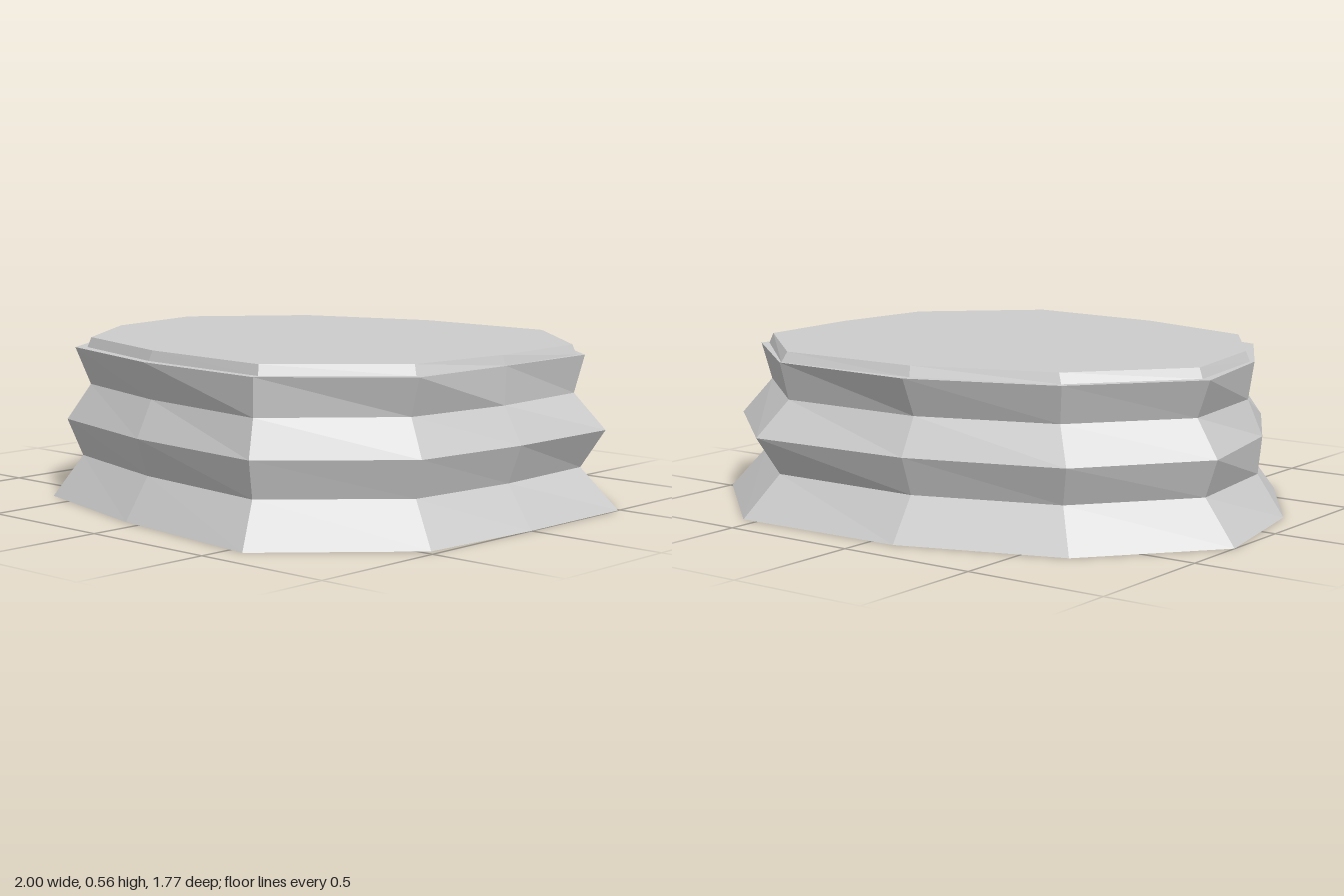
import * as THREE from 'three';

// Each ring is a height and eleven [x, z] corners, from the back left round by the right to the front.
const bodyRings = [
  { y: 0, p: [[-1, -.26], [-.65, -.68], [-.09, -.87], [.56, -.885], [1, -.49], [1, 0], [.97, .47], [.56, .885], [-.07, .8], [-.62, .65], [-.9, .23]] },
  { y: .145, p: [[-.87, -.23], [-.57, -.6], [-.08, -.765], [.5, -.765], [.885, -.425], [.905, 0], [.865, .42], [.5, .78], [-.06, .71], [-.55, .57], [-.81, .205]] },
  { y: .275, p: [[-.92, -.24], [-.61, -.64], [-.08, -.81], [.54, -.835], [.955, -.47], [.955, 0], [.905, .44], [.52, .815], [-.06, .755], [-.585, .61], [-.82, .215]] },
  { y: .4, p: [[-.83, -.22], [-.54, -.575], [-.07, -.735], [.48, -.735], [.86, -.415], [.885, 0], [.835, .41], [.49, .765], [-.06, .69], [-.52, .555], [-.77, .2]] },
  { y: .53, p: [[-.885, -.235], [-.57, -.61], [-.07, -.79], [.49, -.765], [.885, -.44], [.89, 0], [.88, .425], [.5, .775], [-.05, .735], [-.56, .59], [-.79, .205]] },
];
const slabRings = [
  { y: .53, p: [[-.85, -.225], [-.55, -.585], [-.07, -.755], [.49, -.757], [.865, -.42], [.885, 0], [.85, .405], [.49, .742], [-.06, .7], [-.53, .56], [-.775, .2]] },
  { y: .565, p: [[-.835, -.22], [-.535, -.575], [-.06, -.738], [.48, -.738], [.85, -.415], [.875, 0], [.835, .395], [.48, .73], [-.05, .69], [-.52, .55], [-.76, .197]] },
];

// Skin the rings, with a flat cap at both ends.
function loft(rings) {
  const pos = [];
  const corner = (r, i) => [r.p[i][0], r.y, r.p[i][1]];
  const tri = (a, b, c) => pos.push(...a, ...b, ...c);
  const low = rings[0], high = rings[rings.length - 1], n = low.p.length;
  for (let i = 0; i < n; i++) {
    const j = (i + 1) % n;
    for (let k = 0; k < rings.length - 1; k++) {
      const a = rings[k], b = rings[k + 1];
      tri(corner(a, i), corner(b, j), corner(a, j));
      tri(corner(a, i), corner(b, i), corner(b, j));
    }
    tri([0, low.y, 0], corner(low, i), corner(low, j));
    tri([0, high.y, 0], corner(high, j), corner(high, i));
  }
  const g = new THREE.BufferGeometry();
  g.setAttribute('position', new THREE.Float32BufferAttribute(pos, 3));
  g.computeVertexNormals();
  return g;
}

export function createModel() {
  const stone = new THREE.MeshStandardMaterial({ color: 0xcccccc, flatShading: true });
  stone.name = 'light grey stone';
  const group = new THREE.Group();
  group.name = 'stonePlatform';
  const add = (name, rings) => {
    const mesh = new THREE.Mesh(loft(rings), stone);
    mesh.name = name;
    group.add(mesh);
  };
  add('steppedBody', bodyRings);
  add('topSlab', slabRings);
  return group;
}
